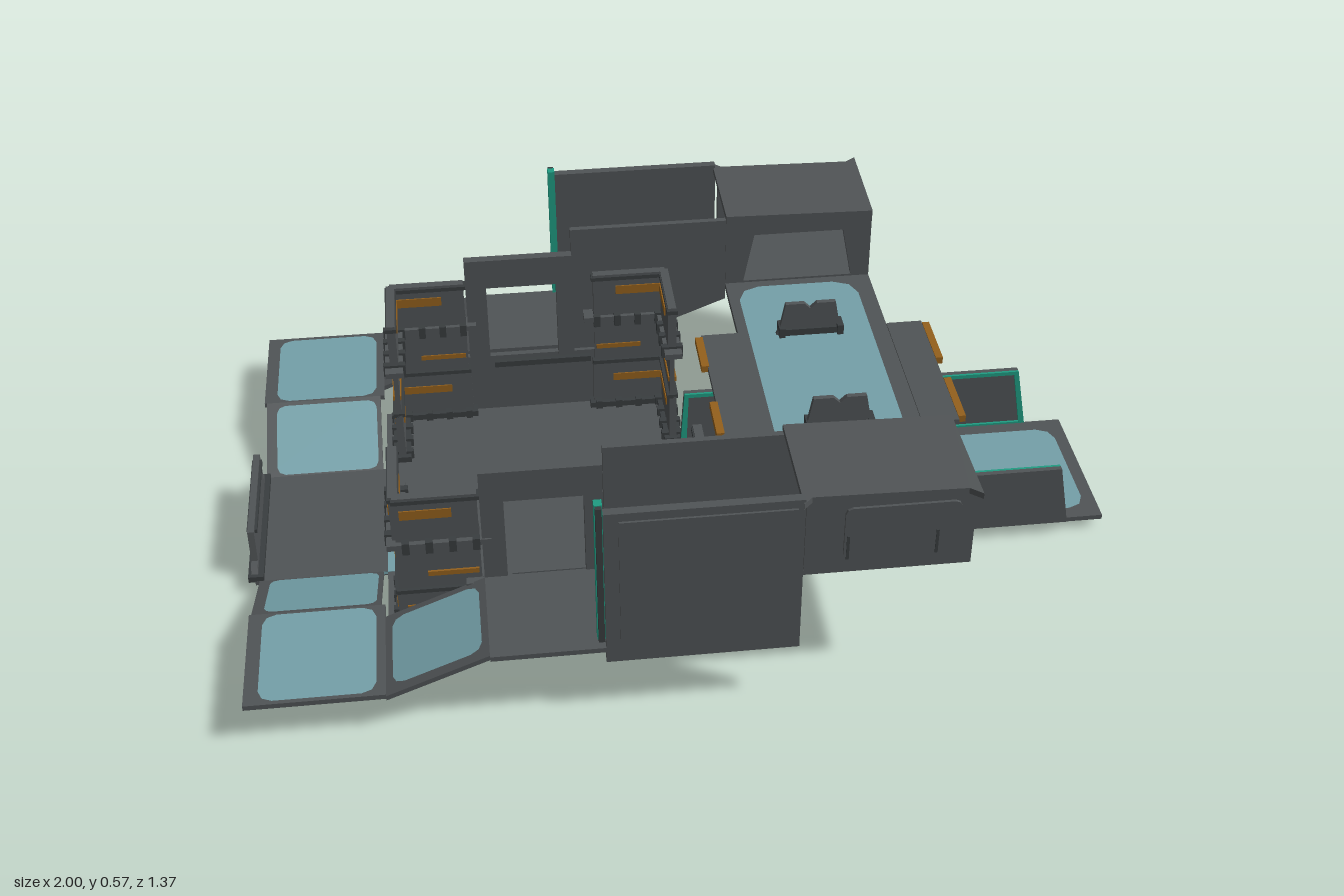
import * as THREE from 'three';

const mat = (name, color) => {
  const m = new THREE.MeshStandardMaterial({ color, side: THREE.DoubleSide });
  m.name = name;
  return m;
};

export function createModel() {
  const root = new THREE.Group();
  root.name = 'arena';
  root.position.z = -0.01;
  const grey = mat('wallGrey', 0x505456);
  const dark = mat('trimDark', 0x393d3f);
  const teal = mat('floorTeal', 0x74a0a8);
  const green = mat('edgeGreen', 0x1f9c82);
  const orange = mat('stripeOrange', 0x94601c);

  const add = (name, geo, m) => {
    const mesh = new THREE.Mesh(geo, m);
    mesh.name = name;
    root.add(mesh);
    return mesh;
  };
  // box from its limits
  const box = (name, m, x0, x1, y0, y1, z0, z1) => {
    const g = new THREE.BoxGeometry(Math.abs(x1 - x0), Math.abs(y1 - y0), Math.abs(z1 - z0));
    g.translate((x0 + x1) / 2, (y0 + y1) / 2, (z0 + z1) / 2);
    return add(name, g, m);
  };
  const polygon = (pts) => new THREE.Shape(pts.map((p) => new THREE.Vector2(p[0], p[1])));
  // upright panel in the xy plane, centred on depth z
  const panel = (name, m, pts, z, t, holes = []) => {
    const s = polygon(pts);
    holes.forEach((h) => s.holes.push(polygon(h)));
    const g = new THREE.ExtrudeGeometry(s, { depth: t, bevelEnabled: false });
    g.translate(0, 0, z - t / 2);
    return add(name, g, m);
  };
  const rect = (x0, x1, y0, y1) => [[x0, y0], [x1, y0], [x1, y1], [x0, y1]];
  // rectangle with cut corners
  const cut = (x0, x1, y0, y1, r) => {
    const q = r * 0.3;
    return [[x0 + r, y0], [x1 - r, y0], [x1 - q, y0 + q], [x1, y0 + r], [x1, y1 - r], [x1 - q, y1 - q],
      [x1 - r, y1], [x0 + r, y1], [x0 + q, y1 - q], [x0, y1 - r], [x0, y0 + r], [x0 + q, y0 + q]];
  };
  // floor plate whose top follows height(x, z), with an optional teal inlay [x0, x1, z0, z1, radius]
  const floor = (name, x0, x1, z0, z1, height, inlay, t = 0.012) => {
    const slab = (shape, label, m) => {
      const g = new THREE.ExtrudeGeometry(shape, { depth: t, bevelEnabled: false });
      g.rotateX(-Math.PI / 2);
      const p = g.attributes.position;
      for (let i = 0; i < p.count; i++) p.setY(i, p.getY(i) - t + height(p.getX(i), p.getZ(i)));
      g.computeVertexNormals();
      add(label, g, m);
    };
    const frame = polygon(rect(x0, x1, -z1, -z0));
    if (inlay) {
      const [a, b, c, d, r] = inlay;
      const pts = cut(a, b, -d, -c, r);
      frame.holes.push(polygon(pts));
      slab(polygon(pts), name + 'Inlay', teal);
    }
    slab(frame, name, grey);
  };
  const flat = (y) => () => y;

  // central floor and its base
  box('arenaFloor', grey, -0.68, 0.04, 0.015, 0.03, -0.42, 0.42);
  box('arenaBase', grey, -0.55, -0.08, 0, 0.016, -0.4, 0.4);
  box('floorSeam', teal, -0.69, -0.655, 0.024, 0.032, -0.19, 0.19);

  // apron at the low end, closed by a small barrier
  floor('apron', -0.98, -0.68, -0.19, 0.19, flat(0.033));
  const barrier = panel('apronBarrier', grey,
    [[-0.19, 0.03], [0.19, 0.03], [0.17, 0.06], [0.15, 0.06], [0.145, 0.14], [-0.145, 0.14], [-0.15, 0.06], [-0.17, 0.06]], 0, 0.015);
  barrier.rotation.y = Math.PI / 2;
  barrier.position.x = -0.98;
  box('barrierFoot', dark, -0.995, -0.96, 0.03, 0.045, -0.19, 0.19);
  box('barrierRail', dark, -0.99, -0.967, 0.125, 0.135, -0.13, 0.13);

  // lane at the far end
  floor('lane', 0.04, 1, -0.19, 0.19, flat(0.035), [0.06, 0.97, -0.155, 0.155, 0.04]);

  // bridge with its ledges
  floor('bridge', 0.18, 0.54, -0.43, 0.43, flat(0.355), [0.205, 0.5, -0.4, 0.4, 0.055], 0.015);
  box('innerLedge', grey, 0.09, 0.18, 0.345, 0.358, -0.2, 0.2);
  box('outerLedge', grey, 0.54, 0.625, 0.345, 0.358, -0.2, 0.2);

  for (const s of [1, -1]) {
    // lane walls with coloured rims
    for (const [a, b, c, d] of [[0.04, 0.47, 0.05, 0.435], [0.475, 0.91, 0.51, 0.88]]) {
      const outline = [[a, 0.035], [b, 0.035], [d, 0.195], [c, 0.195]];
      panel('laneWall', grey, outline, s * 0.199, 0.012);
      panel('laneWallRim', green, outline, s * 0.19, 0.006,
        [[[a + 0.015, 0.04], [b - 0.015, 0.04], [d - 0.01, 0.185], [c + 0.01, 0.185]]]);
    }
    // ledge stripes and lip blocks
    box('ledgeStripe', orange, 0.075, 0.093, 0.343, 0.36, s * 0.07, s * 0.19);
    box('ledgeStripe', orange, 0.625, 0.642, 0.343, 0.36, s * 0.04, s * 0.19);
    box('ledgeLip', grey, 0.55, 0.61, 0.335, 0.347, s * 0.08, s * 0.17);

    // bridge cover shields
    panel('bridgeCover', grey,
      [[0.27, 0.355], [0.43, 0.355], [0.42, 0.385], [0.41, 0.44], [0.365, 0.44], [0.35, 0.425], [0.335, 0.44], [0.29, 0.44], [0.28, 0.385]],
      s * 0.19, 0.012);
    box('coverFoot', dark, 0.275, 0.425, 0.355, 0.372, s * 0.178, s * 0.202);
    for (const x of [0.275, 0.415]) box('coverPost', dark, x, x + 0.015, 0.355, 0.38, s * 0.17, s * 0.21);

    // raised side route: low ramp, corner deck, short ramp, deck, long ramp
    const z0 = 0.43, z1 = 0.675;
    const side = (name, x0, x1, a, b, h, inl) => {
      const lo = Math.min(s * a, s * b), hi = Math.max(s * a, s * b);
      let i = null;
      if (inl) i = [inl[0], inl[1], Math.min(s * inl[2], s * inl[3]), Math.max(s * inl[2], s * inl[3]), inl[4]];
      floor(name, x0, x1, lo, hi, h, i);
    };
    side('lowRamp', -0.97, -0.69, 0.19, 0.39, (x, z) => 0.033 + 0.077 * (Math.abs(z) - 0.19) / 0.2, [-0.945, -0.7, 0.194, 0.38, 0.02]);
    side('cornerDeck', -0.975, -0.68, 0.39, 0.67, flat(0.11), [-0.945, -0.7, 0.395, 0.66, 0.03]);
    side('shortRamp', -0.68, -0.46, z0, z1, (x) => 0.11 + 0.09 * (x + 0.68) / 0.22, [-0.665, -0.475, 0.445, 0.65, 0.025]);
    side('sideDeck', -0.46, -0.18, z0, 0.68, flat(0.2));
    side('longRamp', -0.18, 0.18, z0, 0.68, (x) => 0.2 + 0.15 * (x + 0.18) / 0.36);
    side('boxFloor', 0.18, 0.54, z0, 0.66, flat(0.352));

    // outer wall with raised panel and coloured end strip
    box('outerWall', grey, -0.22, 0.185, 0.16, 0.555, s * 0.66, s * 0.68);
    panel('outerWallPanel', grey, rect(-0.19, 0.17, 0.2, 0.535), s * 0.682, 0.006);
    box('wallEndStrip', green, -0.237, -0.22, 0.215, 0.57, s * 0.648, s * 0.668);
    box('wallEndPost', dark, -0.235, -0.222, 0.215, 0.568, s * 0.668, s * 0.678);

    // inner wall and window wall
    panel('innerWall', grey, [[-0.2, 0.16], [0.18, 0.31], [0.18, 0.535], [-0.2, 0.535]], s * 0.432, 0.014);
    panel('windowWall', grey, [[-0.46, 0.19], [-0.41, 0.19], [-0.41, 0.4], [-0.24, 0.4], [-0.24, 0.19], [-0.2, 0.19], [-0.2, 0.478], [-0.46, 0.478]],
      s * 0.412, 0.022);
    box('skirtWall', grey, -0.5, -0.02, 0.025, 0.19, s * 0.415, s * 0.435);
    box('skirtPanel', grey, -0.45, -0.1, 0.05, 0.15, s * 0.435, s * 0.441);
    box('skirtRail', dark, -0.4, -0.16, 0.165, 0.18, s * 0.4, s * 0.415);

    // shelter at the bridge end
    box('shelterOuterWall', grey, 0.19, 0.54, 0.35, 0.535, s * 0.645, s * 0.66);
    panel('shelterOuterPanel', grey, cut(0.27, 0.51, 0.375, 0.51, 0.015), s * 0.663, 0.006);
    for (const x of [0.275, 0.46]) box('shelterSeam', dark, x, x + 0.006, 0.38, 0.44, s * 0.664, s * 0.668);
    box('shelterEndWall', grey, 0.525, 0.54, 0.35, 0.535, s * 0.43, s * 0.65);
    box('shelterEndPanel', grey, 0.54, 0.546, 0.375, 0.515, s * 0.455, s * 0.63);
    panel('shelterDoorWall', grey, rect(0.18, 0.54, 0.352, 0.535), s * 0.43, 0.014,
      [[[0.225, 0.36], [0.495, 0.36], [0.47, 0.49], [0.25, 0.49]]]);
    const roof = [[0.18, 0.42], [0.54, 0.42], [0.545, 0.685], [0.52, 0.665], [0.2, 0.665], [0.18, 0.685]];
    const rg = new THREE.ExtrudeGeometry(polygon(roof.map(([x, z]) => [x, -s * z])), { depth: 0.014, bevelEnabled: false });
    rg.rotateX(-Math.PI / 2);
    const rp = rg.attributes.position;
    for (let i = 0; i < rp.count; i++) rp.setY(i, rp.getY(i) + 0.534 - 0.02 * (rp.getX(i) - 0.18));
    rg.computeVertexNormals();
    add('shelterRoof', rg, grey);

    // four L-shaped corner towers, each of three tiers
    for (const e of [-1, 1]) {
      const cx = e < 0 ? -0.65 : 0.035; // outer corner
      const cz = s * 0.415;
      const arms = (name, m, from, to, y0, y1, inn, out) => {
        box(name, m, cx - e * from, cx - e * to, y0, y1, cz + s * out, cz - s * inn);
        box(name, m, cx + e * out, cx - e * inn, y0, y1, cz - s * from, cz - s * to);
      };
      arms('towerTier', grey, 0, 0.19, 0.03, 0.165, 0.018, 0);
      arms('towerTier', grey, 0.005, 0.185, 0.165, 0.295, 0.016, -0.004);
      arms('towerTier', grey, 0.008, 0.185, 0.295, 0.42, 0.02, 0);
      arms('towerFoot', dark, -0.012, 0.2, 0.03, 0.045, 0.03, 0.012);
      arms('towerSeam', dark, 0, 0.19, 0.16, 0.17, 0.024, 0.004);
      arms('towerFlange', grey, -0.012, 0.21, 0.29, 0.304, 0.03, 0.012);
      arms('towerCap', dark, 0.005, 0.19, 0.405, 0.415, 0.023, 0.003);
      for (const d of [0.02, 0.07, 0.12, 0.17]) {
        arms('towerBolt', dark, d, d + 0.016, 0.28, 0.31, 0.036, 0.016);
        arms('towerBolt', dark, d, d + 0.016, 0.03, 0.052, 0.036, 0.016);
      }
      arms('towerStripe', orange, 0.02, 0.14, 0.105, 0.125, 0.021, 0.003);
      arms('towerStripe', orange, 0.07, 0.18, 0.204, 0.216, 0.019, 0.001);
      arms('towerStripe', orange, 0.02, 0.13, 0.365, 0.388, 0.023, 0.003);
    }
  }
  return root;
}
